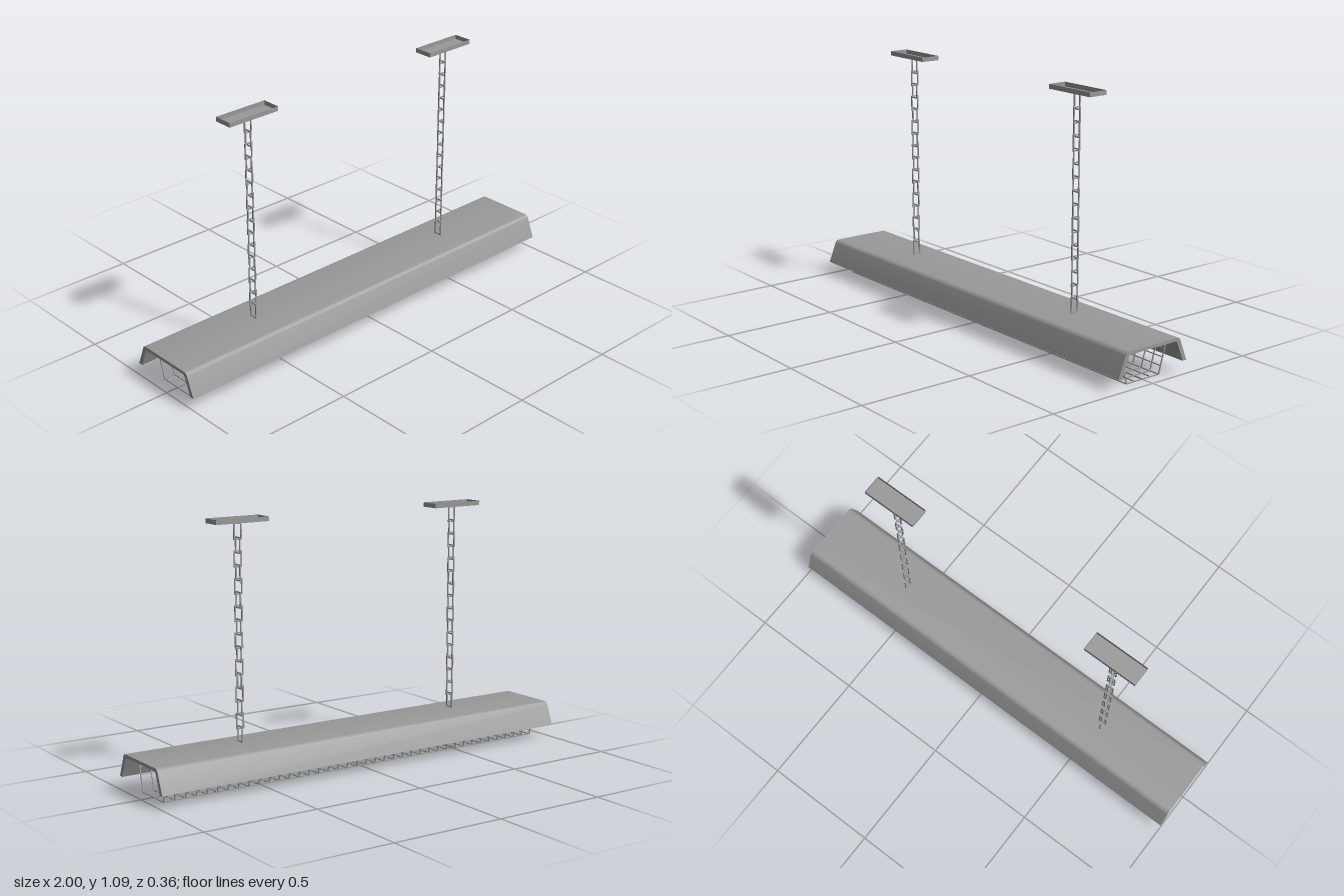
import * as THREE from 'three';
import { mergeGeometries, toCreasedNormals } from 'three/addons/utils/BufferGeometryUtils.js';

const material = new THREE.MeshStandardMaterial({ color: 0x999999 });
const sheetMaterial = new THREE.MeshStandardMaterial({ color: 0x999999, side: THREE.DoubleSide });

function add(parent, name, geometry, mat = material) {
  const mesh = new THREE.Mesh(geometry, mat);
  mesh.name = name;
  parent.add(mesh);
  return mesh;
}

// Box placed by its centre, optionally tilted about x
function bar(w, h, d, x, y, z, tilt = 0) {
  return new THREE.BoxGeometry(w, h, d).rotateX(tilt).translate(x, y, z);
}

// Rectangular chain link in the xy plane, centred on the origin
function linkGeometry(w, h, rim) {
  const rect = (path, a, b) => path.moveTo(-a, -b).lineTo(a, -b).lineTo(a, b).lineTo(-a, b).closePath();
  const shape = rect(new THREE.Shape(), w / 2, h / 2);
  shape.holes.push(rect(new THREE.Path(), w / 2 - rim, h / 2 - rim));
  return new THREE.ExtrudeGeometry(shape, { depth: rim, bevelEnabled: false }).translate(0, 0, -rim / 2);
}

// Thin-walled box without its top face
function trayGeometry(w, h, d) {
  const g = new THREE.BoxGeometry(w, h, d);
  const index = Array.from(g.index.array);
  index.splice(12, 6);
  g.setIndex(index);
  g.clearGroups();
  return g;
}

// Bent sheet reflector with rounded shoulders, extruded along x
function shadeGeometry() {
  const s = new THREE.Shape();
  s.moveTo(0.179, 0.057);
  s.lineTo(0.144, 0.145);
  s.quadraticCurveTo(0.139, 0.158, 0.126, 0.158);
  s.lineTo(-0.126, 0.158);
  s.quadraticCurveTo(-0.139, 0.158, -0.144, 0.145);
  s.lineTo(-0.179, 0.057);
  s.lineTo(-0.159, 0.057);
  s.lineTo(-0.128, 0.136);
  s.quadraticCurveTo(-0.125, 0.144, -0.118, 0.144);
  s.lineTo(0.118, 0.144);
  s.quadraticCurveTo(0.125, 0.144, 0.128, 0.136);
  s.lineTo(0.159, 0.057);
  s.closePath();
  const g = new THREE.ExtrudeGeometry(s, { depth: 2, bevelEnabled: false, curveSegments: 3 });
  return toCreasedNormals(g.translate(0, 0, -1).rotateY(-Math.PI / 2), 0.7);
}

// Wire guard: U-shaped hoops joined by long wires
function cageGeometry() {
  const parts = [];
  const half = 0.947, wire = 0.004, hoops = 39;
  const low = { z: 0.085, y: 0.003 }, high = { z: 0.123, y: 0.136 };
  const dz = high.z - low.z, dy = high.y - low.y;
  const slant = Math.hypot(dz, dy), tilt = Math.atan2(dz, dy);
  for (let i = 0; i <= hoops; i++) {
    const x = -half + wire / 2 + (i / hoops) * (2 * half - wire);
    parts.push(bar(wire, wire, 2 * low.z, x, low.y, 0));
    for (const side of [-1, 1]) {
      parts.push(bar(wire, slant, wire, x, low.y + dy / 2, side * (low.z + dz / 2), side * tilt));
    }
  }
  for (let i = 0; i <= 4; i++) {
    const t = i / 4;
    parts.push(bar(2 * half, wire, wire, 0, low.y, low.z * (2 * t - 1)));
    if (i === 0) continue;
    for (const side of [-1, 1]) {
      parts.push(bar(2 * half, wire, wire, 0, low.y + t * dy, side * (low.z + t * dz), side * tilt));
    }
  }
  return mergeGeometries(parts);
}

export function createModel() {
  const model = new THREE.Group();
  model.name = 'hangingLight';

  add(model, 'shade', shadeGeometry());
  add(model, 'wireGuard', cageGeometry());

  // Pair of six-sided lamp tubes, a corner of each hexagon upwards
  for (const side of [-1, 1]) {
    const tube = new THREE.CylinderGeometry(0.028, 0.028, 1.76, 6).rotateZ(Math.PI / 2).rotateX(Math.PI / 2);
    add(model, side > 0 ? 'frontTube' : 'backTube', tube).position.set(0, 0.111, side * 0.041);
  }

  // Two chains, each with an open-topped ceiling tray
  for (const side of [-1, 1]) {
    const hanger = new THREE.Group();
    hanger.name = side > 0 ? 'leftHanger' : 'rightHanger';
    hanger.position.x = side * 0.543;
    model.add(hanger);

    const links = [];
    for (let i = 0; i < 16; i++) {
      const link = linkGeometry(0.037, 0.068, 0.005);
      if (i % 2 === 0) link.rotateY(Math.PI / 2);
      links.push(link.translate(0, 0.202 + i * 0.0553, 0));
    }
    add(hanger, 'chain', mergeGeometries(links));

    add(hanger, 'ceilingTray', trayGeometry(0.242, 0.019, 0.084), sheetMaterial).position.y = 1.0775;
  }
  return model;
}
